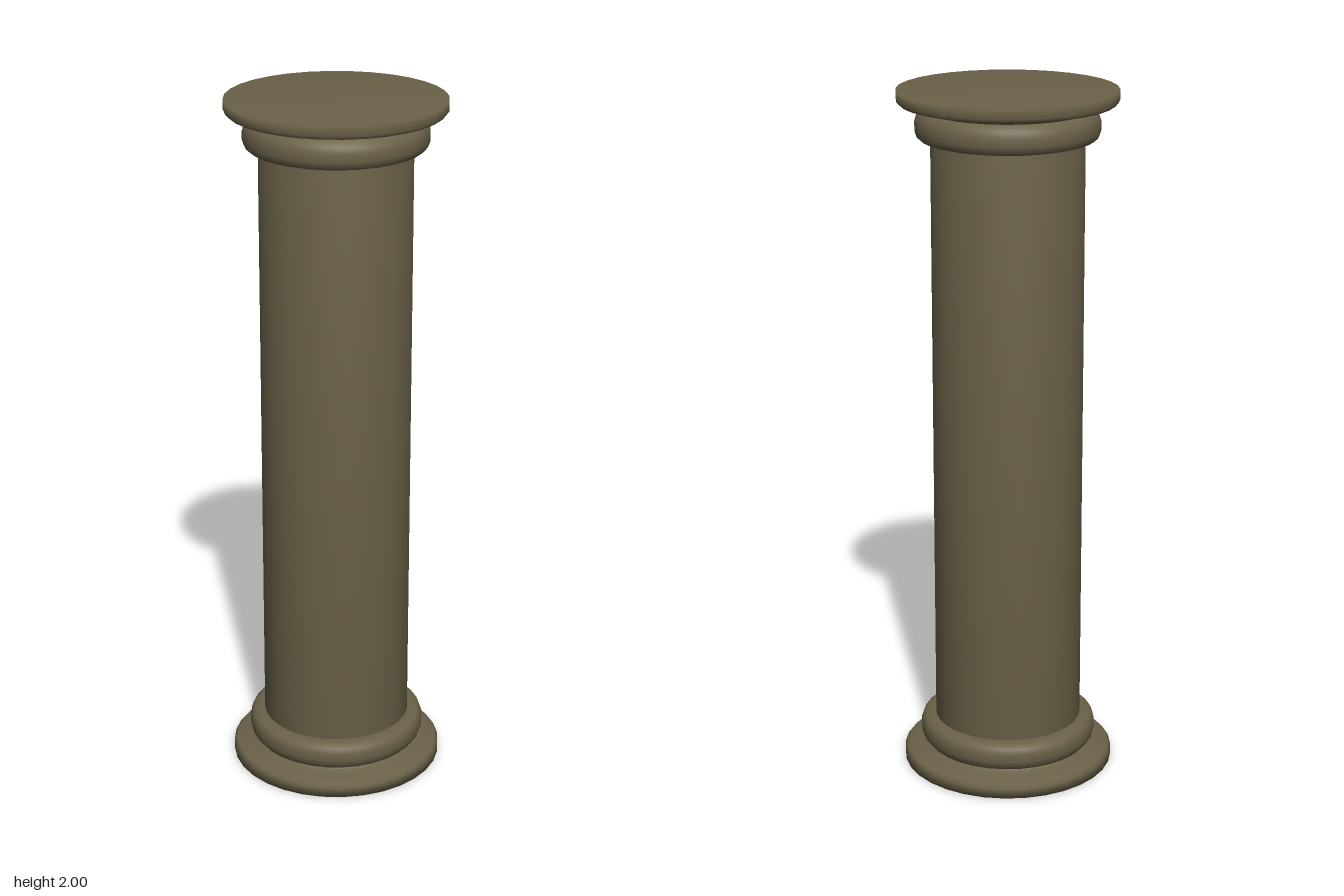
import * as THREE from 'three';

const SIDES = 32;
const HEIGHT = 2;

// Half profiles as [radius, height], running upwards
const PLINTH = [[0, 0], [0.307, 0], [0.307, 0.028], [0.298, 0.038], [0.265, 0.044], [0.238, 0.049], [0.228, 0.058]];
const RING = [[0.228, 0.054], [0.241, 0.06], [0.252, 0.073], [0.257, 0.09], [0.257, 0.112],
  [0.252, 0.127], [0.243, 0.135], [0.23, 0.139], [0.2, 0.14]];
const SHAFT = [[0, 0.08], [0.214, 0.08], [0.214, HEIGHT - 0.08], [0, HEIGHT - 0.08]];

// Mirror a base profile to make the matching capital
const flip = (profile) => profile.map(([r, y]) => [r, HEIGHT - y]).reverse();

export function createModel() {
  const model = new THREE.Group();
  model.name = 'column';
  const stone = new THREE.MeshStandardMaterial({ color: 0x6a6148 });
  stone.name = 'olive stone';

  const turn = (name, profile) => {
    const points = profile.map(([r, y]) => new THREE.Vector2(r, y));
    const mesh = new THREE.Mesh(new THREE.LatheGeometry(points, SIDES), stone);
    mesh.name = name;
    model.add(mesh);
  };

  // Base, shaft and mirrored capital
  turn('basePlinth', PLINTH);
  turn('baseRing', RING);
  turn('shaft', SHAFT);
  turn('capitalRing', flip(RING));
  turn('capitalPlate', flip(PLINTH));
  return model;
}
